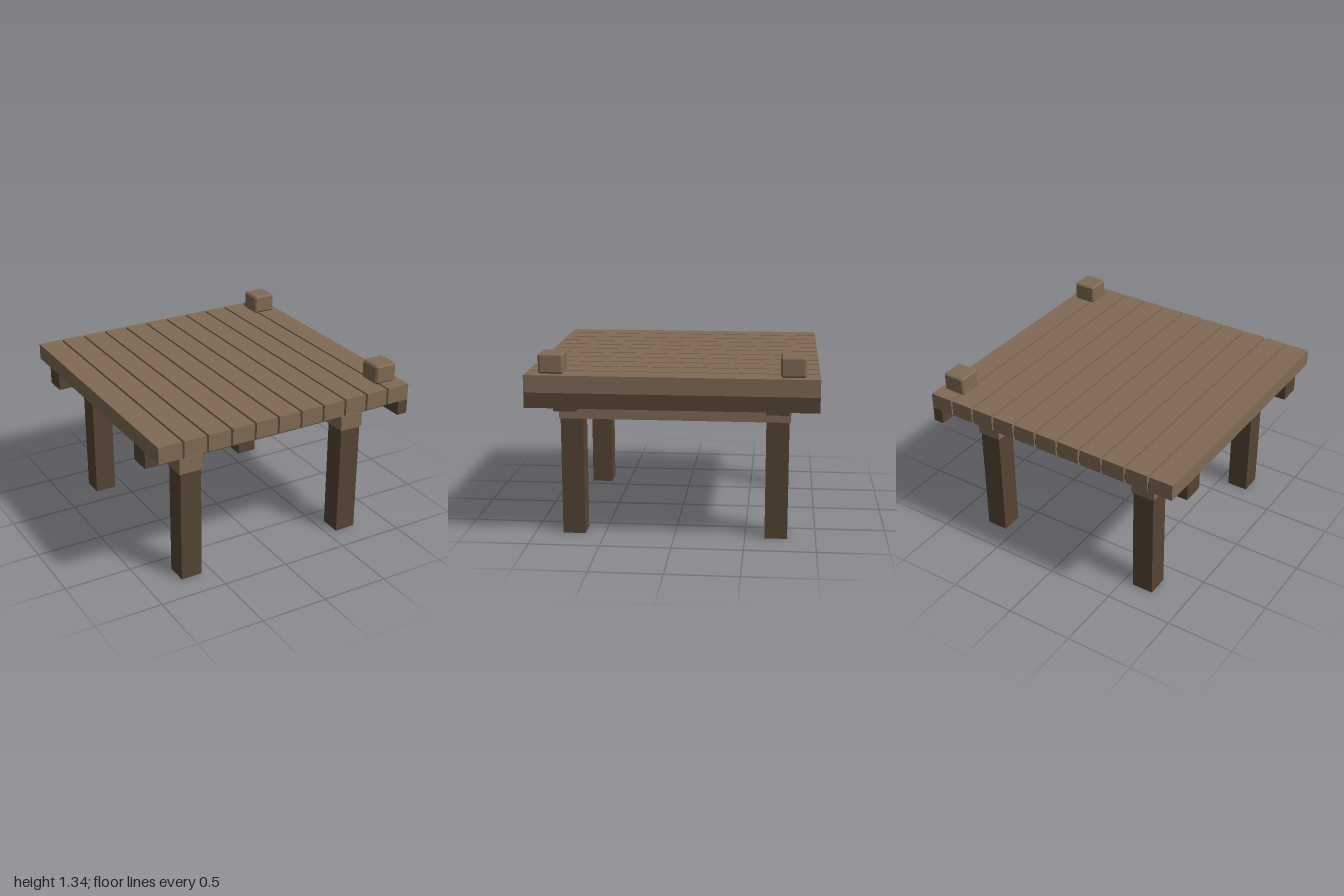
import * as THREE from 'three';
import { ConvexGeometry } from 'three/addons/geometries/ConvexGeometry.js';

const lightWood = new THREE.MeshStandardMaterial({ color: 0x806a54 });
lightWood.name = 'light wood';
const darkWood = new THREE.MeshStandardMaterial({ color: 0x554434 });
darkWood.name = 'dark wood';

// Box given by its lower and upper limits on each axis
function block(name, material, [x0, x1], [y0, y1], [z0, z1]) {
  const mesh = new THREE.Mesh(new THREE.BoxGeometry(x1 - x0, y1 - y0, z1 - z0), material);
  mesh.position.set((x0 + x1) / 2, (y0 + y1) / 2, (z0 + z1) / 2);
  mesh.name = name;
  return mesh;
}

// Box with every edge chamfered by b
function chamferedBox(w, h, d, b) {
  const points = [];
  for (const sx of [-1, 1]) for (const sy of [-1, 1]) for (const sz of [-1, 1]) {
    for (let axis = 0; axis < 3; axis++) {
      const inset = [b, b, b];
      inset[axis] = 0;
      points.push(new THREE.Vector3(
        sx * (w / 2 - inset[0]), sy * (h / 2 - inset[1]), sz * (d / 2 - inset[2])));
    }
  }
  return new ConvexGeometry(points);
}

export function createModel() {
  const model = new THREE.Group();
  model.name = 'woodenDock';

  // Deck planks, flush at the outer edges with narrow gaps between
  const count = 11, pitch = 2 / count, halfGap = 0.008;
  const deck = new THREE.Group();
  deck.name = 'deck';
  for (let i = 0; i < count; i++) {
    const x0 = -1 + i * pitch + (i > 0 ? halfGap : 0);
    const x1 = -1 + (i + 1) * pitch - (i < count - 1 ? halfGap : 0);
    deck.add(block('plank', lightWood, [x0, x1], [1.08, 1.2], [-1, 1]));
  }
  // Dark core seen in the gaps
  deck.add(block('deckCore', darkWood, [-0.98, 0.98], [1.09, 1.14], [-0.987, 0.987]));
  model.add(deck);

  // Beam under the right-hand edge
  model.add(block('edgeBeam', darkWood, [0.92, 1], [0.974, 1.08], [-1, 1]));

  for (const s of [-1, 1]) {
    const legZ = [s * 0.72 - 0.08, s * 0.72 + 0.08];

    // Beams along x below the planks
    model.add(block('crossBeam', darkWood, [-1, 0.999], [0.954, 1.08], legZ));

    // Rails along z joining the legs
    model.add(block('legRail', lightWood,
      [s * 0.66 - 0.09, s * 0.66 + 0.09], [0.846, 0.959], [-0.81, 0.81]));

    // Legs
    for (const t of [-1, 1]) {
      model.add(block('leg', darkWood, [t * 0.66 - 0.08, t * 0.66 + 0.08], [0, 0.98], legZ));
    }

    // Mooring post tops
    const post = new THREE.Mesh(chamferedBox(0.173, 0.14, 0.173, 0.013), lightWood);
    post.position.set(0.869, 1.271, s * 0.82);
    post.name = 'mooringPost';
    model.add(post);
  }
  return model;
}
